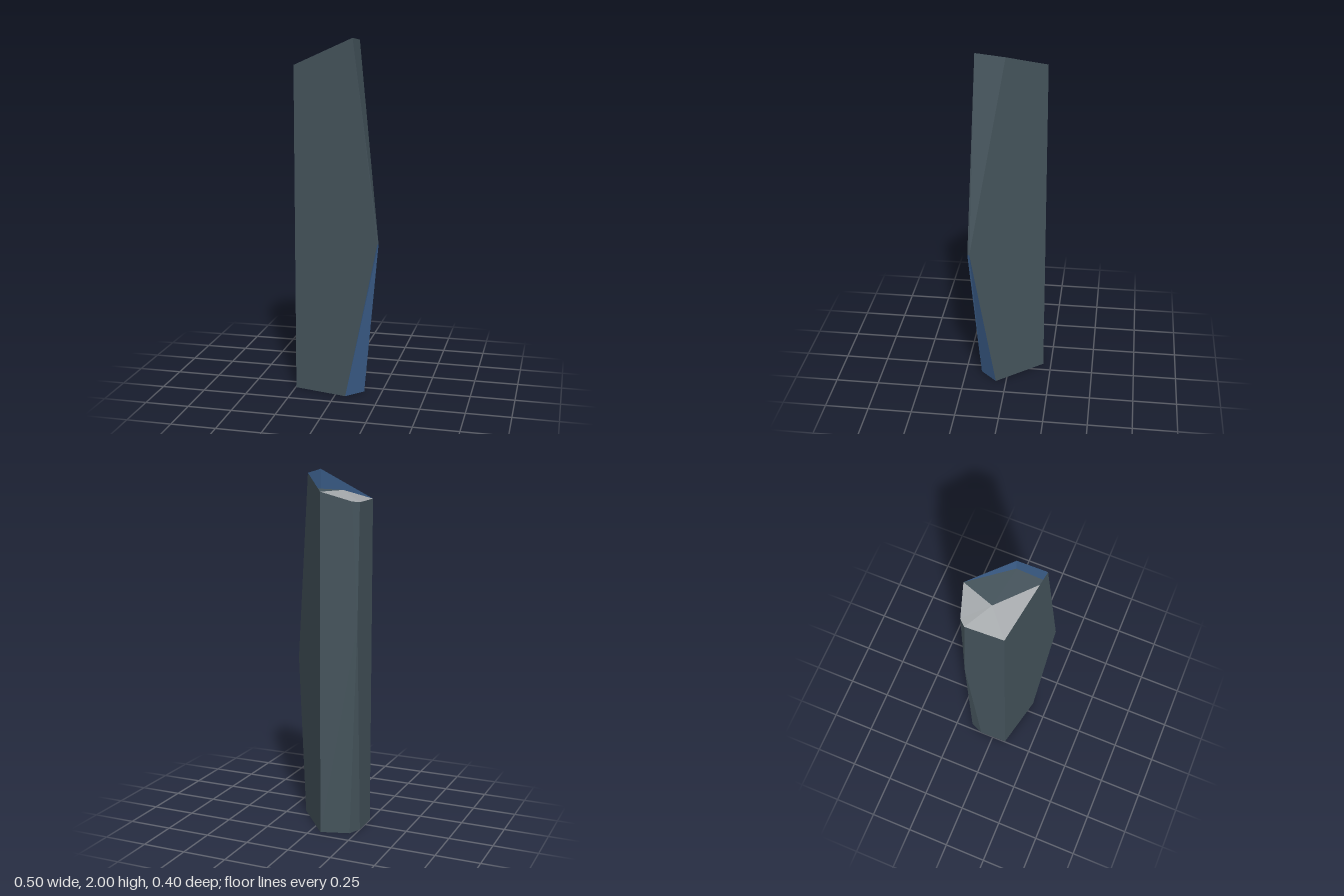
import * as THREE from 'three';

const mat = (name, color) => {
  const m = new THREE.MeshStandardMaterial({ color });
  m.name = name;
  return m;
};

// Flat convex panel fanned from its first corner, turned to face the hint direction
function panel(name, material, corners, facing) {
  const v = corners.map((c) => new THREE.Vector3(...c));
  const normal = new THREE.Vector3();
  for (let i = 1; i < v.length - 1; i++) {
    normal.add(v[i].clone().sub(v[0]).cross(v[i + 1].clone().sub(v[0])));
  }
  if (normal.dot(new THREE.Vector3(...facing)) < 0) v.reverse();
  // keep the fan centred on the first given corner
  if (v[0].distanceTo(new THREE.Vector3(...corners[0])) > 1e-6) v.unshift(v.pop());
  const pos = [];
  for (let i = 1; i < v.length - 1; i++) {
    for (const p of [v[0], v[i], v[i + 1]]) pos.push(p.x, p.y, p.z);
  }
  const geo = new THREE.BufferGeometry();
  geo.setAttribute('position', new THREE.Float32BufferAttribute(pos, 3));
  geo.computeVertexNormals();
  const mesh = new THREE.Mesh(geo, material);
  mesh.name = name;
  return mesh;
}

export function createModel() {
  const group = new THREE.Group();
  group.name = 'angularTower';
  const slate = mat('slate', 0x45545c);
  const blue = mat('blue', 0x3d618e);
  const grey = mat('roof grey', 0x9fa3a6);

  // Front left-hand edge and back edge
  const frontBase = [-0.246, 0, 0.085], frontTop = [-0.246, 1.85, 0.085];
  const backBase = [-0.06, 0, -0.204], backTop = [-0.06, 1.9, -0.204];
  // Prow: widest at mid height, cut back above and below
  const prowFront = [0.247, 0.9, 0.2], prowBack = [0.252, 0.9, 0.188];
  const peakFront = [0.1, 2, 0.166], peakBack = [0.105, 1.985, 0.004];
  const footFront = [0.06, 0, 0.157], footBack = [0.15, 0, 0.06];
  // Rear corner: sharp at mid height, chamfered above and below
  const cornerMid = [-0.253, 1.2, -0.145];
  const cornerTopA = [-0.252, 1.845, -0.12], cornerTopB = [-0.222, 1.85, -0.154];
  const cornerBaseA = [-0.25, 0, -0.08], cornerBaseB = [-0.218, 0, -0.155];
  // Sunken roof deck
  const ridge = [-0.12, 1.9, -0.03];
  const deckFront = [0.1, 1.89, 0.166], deckBack = [0.105, 1.895, 0.004];

  const add = (...args) => group.add(panel(...args));

  // Walls
  add('frontWall', slate, [frontBase, footFront, prowFront, peakFront, frontTop], [-0.2, 0, 1]);
  add('leftRearWall', slate, [backBase, backTop, peakBack, prowBack, footBack], [0.8, 0, -0.6]);
  add('rightWall', slate, [frontBase, frontTop, cornerTopA, cornerMid, cornerBaseA], [-1, 0, 0]);
  add('backWall', slate, [backBase, backTop, cornerTopB, cornerMid, cornerBaseB], [-0.3, 0, -1]);
  add('upperProw', slate, [peakFront, peakBack, prowBack, prowFront], [1, 0.1, 0]);
  add('lowerProw', blue, [footFront, footBack, prowBack, prowFront], [1, -0.1, 0.5]);
  add('upperChamfer', slate, [cornerTopA, cornerTopB, cornerMid], [-1, 0, -1]);
  add('lowerChamfer', slate, [cornerBaseA, cornerBaseB, cornerMid], [-1, 0, -1]);
  add('base', slate, [footBack, backBase, cornerBaseB, cornerBaseA, frontBase, footFront], [0, -1, 0]);

  // Roof and deck
  add('roof', grey, [ridge, backTop, cornerTopB, cornerTopA, frontTop, deckFront], [0, 1, 0]);
  add('deck', slate, [ridge, deckFront, deckBack, backTop], [0, 1, 0]);

  // Inner faces of the parapet
  add('frontParapet', blue, [frontTop, deckFront, peakFront], [0.2, 0, -1]);
  add('prowParapet', blue, [deckFront, deckBack, peakBack, peakFront], [-1, 0, 0]);
  add('rearParapet', blue, [backTop, deckBack, peakBack], [-0.8, 0, 0.6]);

  return group;
}
